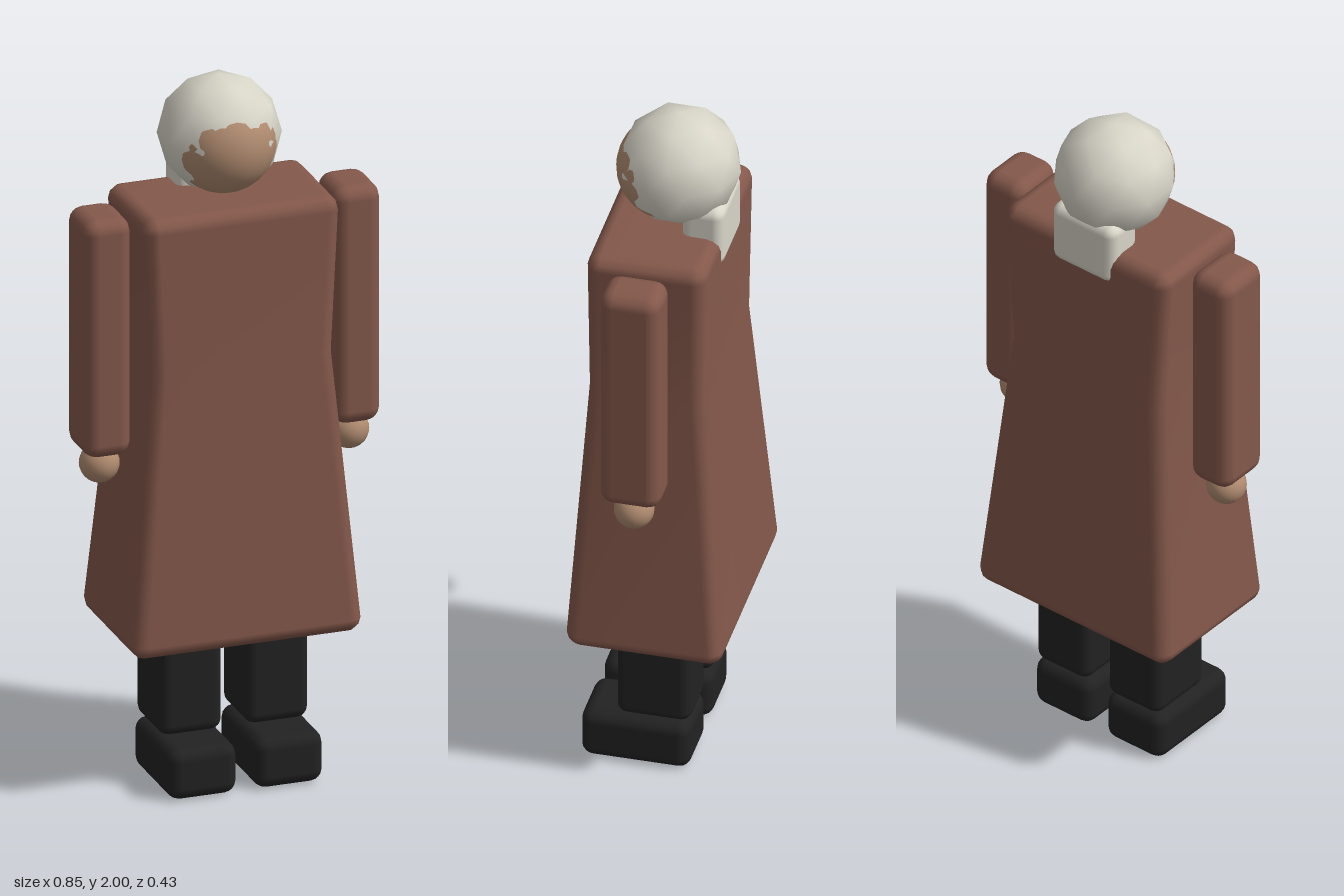
import * as THREE from 'three';
import { mergeVertices } from 'three/addons/utils/BufferGeometryUtils.js';
import { RoundedBoxGeometry } from 'three/addons/geometries/RoundedBoxGeometry.js';

const makeMaterial = (name, color) => {
  const m = new THREE.MeshStandardMaterial({ color });
  m.name = name;
  return m;
};

// Rounded-rectangle cross-sections joined from bottom to top, capped at both ends
function loft(layers) {
  const SEG = 3, n = 4 * (SEG + 1), pos = [], idx = [];
  for (const { y, hx, hz, cz, r } of layers) {
    for (let c = 0; c < 4; c++) {
      const sx = c === 0 || c === 3 ? 1 : -1, sz = c < 2 ? 1 : -1;
      for (let s = 0; s <= SEG; s++) {
        const a = (c + s / SEG) * Math.PI / 2;
        pos.push(sx * (hx - r) + r * Math.cos(a), y, cz + sz * (hz - r) + r * Math.sin(a));
      }
    }
  }
  for (let k = 0; k < layers.length - 1; k++) {
    for (let i = 0; i < n; i++) {
      const a = k * n + i, b = k * n + (i + 1) % n;
      idx.push(a, a + n, b, b, a + n, b + n);
    }
  }
  const last = (layers.length - 1) * n;
  for (let i = 1; i < n - 1; i++) {
    idx.push(0, i, i + 1);
    idx.push(last, last + i + 1, last + i);
  }
  const g = new THREE.BufferGeometry();
  g.setAttribute('position', new THREE.Float32BufferAttribute(pos, 3));
  g.setIndex(idx);
  const merged = mergeVertices(g, 1e-5);
  merged.computeVertexNormals();
  return merged;
}

// Long coat: flared hem, narrow waist, softly rounded rims
function coatGeometry() {
  const r = 0.04, steps = 3, layers = [];
  const rim = (y, hx, hz, cz, dir, t) => {
    const a = t * Math.PI / 2, inset = r * (1 - Math.cos(a));
    return { y: y - dir * r * (1 - Math.sin(a)), hx: hx - inset, hz: hz - inset, cz, r: r * Math.cos(a) };
  };
  for (let i = steps; i >= 0; i--) layers.push(rim(0.425, 0.328, 0.217, 0, -1, i / steps));
  layers.push({ y: 1.23, hx: 0.26, hz: 0.164, cz: 0.007, r });
  for (let i = 0; i <= steps; i++) layers.push(rim(1.675, 0.28, 0.166, 0.006, 1, i / steps));
  return loft(layers);
}

export function createModel() {
  const model = new THREE.Group();
  model.name = 'figure';
  const coat = makeMaterial('coatBrown', 0x84584b);
  const skin = makeMaterial('skin', 0xb08b70);
  const hair = makeMaterial('hairWhite', 0xd9d6c9);
  const black = makeMaterial('black', 0x222222);

  const add = (name, geometry, material, x = 0, y = 0, z = 0) => {
    const mesh = new THREE.Mesh(geometry, material);
    mesh.name = name;
    mesh.position.set(x, y, z);
    model.add(mesh);
    return mesh;
  };

  add('coat', coatGeometry(), coat);

  // Head: smooth face inside a coarse ball of hair
  add('face', new THREE.SphereGeometry(0.145, 32, 20), skin, 0, 1.82, 0.005);
  const hairBall = new THREE.IcosahedronGeometry(0.168, 1);
  hairBall.rotateX(-Math.atan((1 + Math.sqrt(5)) / 2));
  hairBall.rotateY(Math.PI / 2);
  add('hair', hairBall, hair, 0, 1.832, -0.023);
  add('hairTail', new RoundedBoxGeometry(0.216, 0.185, 0.117, 2, 0.03), hair, 0, 1.673, -0.109);

  // Limbs, mirrored left and right
  const arm = new RoundedBoxGeometry(0.135, 0.688, 0.17, 2, 0.04);
  const hand = new THREE.SphereGeometry(0.055, 20, 14);
  const leg = new RoundedBoxGeometry(0.18, 0.4, 0.206, 2, 0.03);
  const shoe = new RoundedBoxGeometry(0.196, 0.146, 0.303, 2, 0.035);
  for (const [side, s] of [['left', 1], ['right', -1]]) {
    add(side + 'Arm', arm, coat, s * 0.356, 1.32, 0.014);
    add(side + 'Hand', hand, skin, s * 0.356, 0.938, 0.014);
    add(side + 'Leg', leg, black, s * 0.123, 0.35, 0);
    add(side + 'Shoe', shoe, black, s * 0.123, 0.073, 0.049);
  }
  return model;
}
